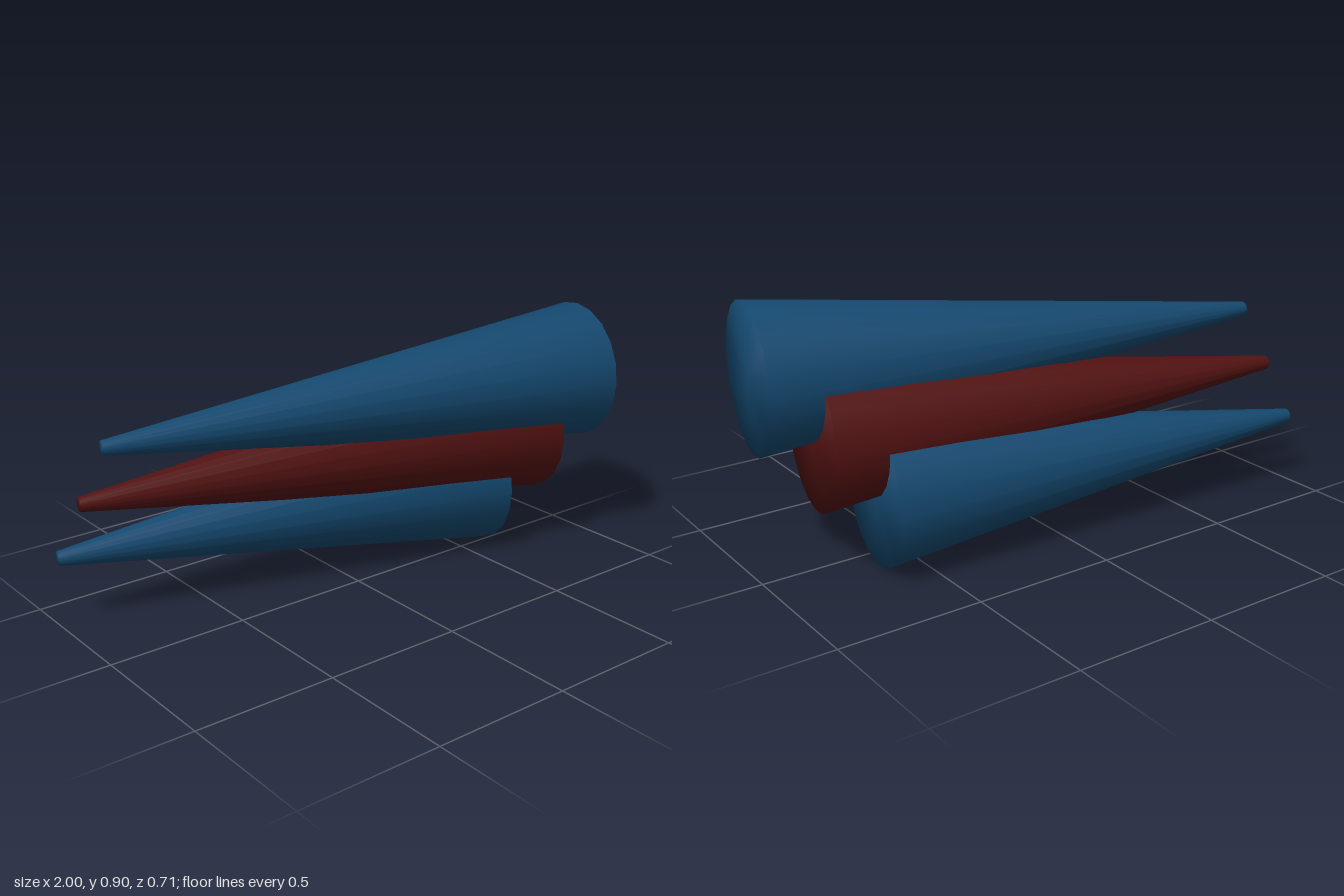
import * as THREE from 'three';

const BLUE = 0x154970, RED = 0x531212;

// Closed tapered cone running from a narrow tip to a wide end, both given as [x, y, z]
function taperedCone(name, color, tip, end) {
  const a = new THREE.Vector3(...tip), b = new THREE.Vector3(...end);
  const length = a.distanceTo(b);
  const profile = [[0, 0], [0.025, 0], [0.25, length], [0, length]]
    .map(([r, h]) => new THREE.Vector2(r, h));
  const mesh = new THREE.Mesh(
    new THREE.LatheGeometry(profile, 20),
    new THREE.MeshStandardMaterial({ color })
  );
  mesh.name = name;
  mesh.position.copy(a);
  // Lay the axis along x, then swing it towards the front
  mesh.rotation.set(0, -Math.atan2(b.z - a.z, b.x - a.x), -Math.PI / 2);
  return mesh;
}

export function createModel() {
  const group = new THREE.Group();
  group.name = 'stackedCones';
  group.add(
    taperedCone('upperCone', BLUE, [-0.884, 0.65, -0.187], [0.956, 0.65, 0.108]),
    taperedCone('middleCone', RED, [-0.94, 0.45, -0.26], [0.792, 0.45, 0.018]),
    taperedCone('lowerCone', BLUE, [-0.996, 0.25, -0.332], [0.627, 0.25, -0.074])
  );
  return group;
}
